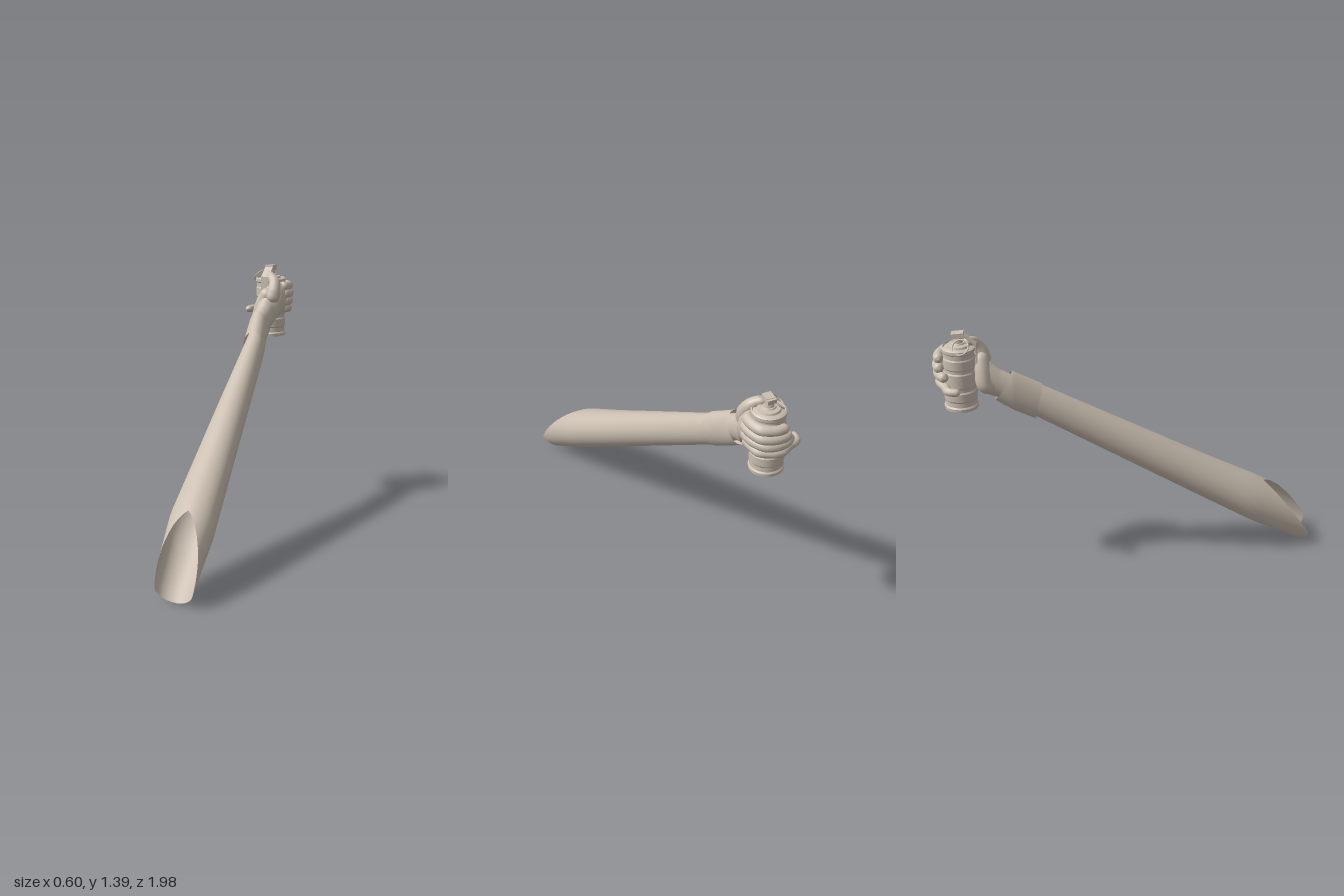
import * as THREE from 'three';
import { mergeVertices } from 'three/addons/utils/BufferGeometryUtils.js';

const fabric = new THREE.MeshStandardMaterial({ color: 0xcbbfb1, side: THREE.DoubleSide });
fabric.name = 'warm beige';

// Canister axis
const CX = -0.142, CZ = -0.86;

function mesh(name, geometry) {
  const m = new THREE.Mesh(geometry, fabric);
  m.name = name;
  return m;
}

// Interpolates rows of [z, x, y, rx, ry], ordered from high z to low z
function sectionAt(rows, z) {
  let i = 0;
  while (i < rows.length - 2 && z < rows[i + 1][0]) i++;
  const a = rows[i], b = rows[i + 1], t = (z - a[0]) / (b[0] - a[0]);
  return a.map((v, k) => v + (b[k] - v) * t);
}

// Elliptical skin running towards -z; both rims may vary with height s (-1 to 1)
function skin(rows, rimStart, rimEnd, steps = 24, sides = 36) {
  const pos = [], idx = [];
  for (let i = 0; i <= steps; i++) {
    for (let j = 0; j < sides; j++) {
      const a = (j / sides) * Math.PI * 2, s = Math.sin(a);
      const z = THREE.MathUtils.lerp(rimStart(s), rimEnd(s), i / steps);
      const [, x, y, rx, ry] = sectionAt(rows, z);
      pos.push(x + rx * Math.cos(a), y + ry * s, z);
      if (i < steps) {
        const p = i * sides + j, q = i * sides + (j + 1) % sides;
        idx.push(p, p + sides, q, q, p + sides, q + sides);
      }
    }
  }
  const g = new THREE.BufferGeometry();
  g.setAttribute('position', new THREE.Float32BufferAttribute(pos, 3));
  g.setIndex(idx);
  g.computeVertexNormals();
  return g;
}

// Round-ended tapering limb through points [x, y, z, radius]
function limb(points, seg = 40, sides = 14) {
  const curve = new THREE.CatmullRomCurve3(points.map(p => new THREE.Vector3(p[0], p[1], p[2])));
  const g = new THREE.TubeGeometry(curve, seg, 1, sides);
  const pos = g.attributes.position, v = new THREE.Vector3(), len = curve.getLength();
  for (let i = 0; i <= seg; i++) {
    const u = i / seg, c = curve.getPointAt(u);
    const f = curve.getUtoTmapping(u) * (points.length - 1);
    const k = Math.min(Math.floor(f), points.length - 2);
    let r = THREE.MathUtils.lerp(points[k][3], points[k + 1][3], f - k);
    const d = Math.min(u, 1 - u) * len;
    if (d < r) r *= Math.sqrt(Math.max(1 - (1 - d / r) ** 2, 0.0001));
    for (let j = 0; j <= sides; j++) {
      const n = i * (sides + 1) + j;
      v.fromBufferAttribute(pos, n).sub(c).multiplyScalar(r).add(c);
      pos.setXYZ(n, v.x, v.y, v.z);
    }
  }
  g.deleteAttribute('uv');
  g.deleteAttribute('normal');
  const welded = mergeVertices(g, 1e-5);
  welded.computeVertexNormals();
  return welded;
}

// Finger wrapped round the canister, angles in degrees from +x towards -z
function finger(y0, y1, from, to, r, reach) {
  const pts = [];
  for (let i = 0; i <= 6; i++) {
    const t = i / 6, a = THREE.MathUtils.degToRad(from + (to - from) * t);
    const knuckle = 1 + 0.05 * Math.cos(t * Math.PI * 4);
    pts.push([CX + reach * 0.94 * Math.cos(a) * knuckle, y0 + (y1 - y0) * t,
      CZ - reach * Math.sin(a), r * (1 - 0.18 * t) * knuckle]);
  }
  return pts;
}

export function createModel() {
  const model = new THREE.Group();
  model.name = 'armWithCanister';

  // Sleeve, cut away above at the open shoulder end
  const shoulderRim = s => s > -0.25
    ? 0.72 + 0.265 * Math.pow((1 - s) / 1.25, 0.6)
    : 0.985 - 0.045 * (-0.25 - s) / 0.75;
  model.add(mesh('sleeve', skin([
    [0.98, 0.193, 0.125, 0.105, 0.128],
    [0.66, 0.125, 0.310, 0.125, 0.133],
    [0.40, 0.080, 0.463, 0.110, 0.122],
    [0.00, 0.014, 0.705, 0.087, 0.109],
    [-0.47, -0.062, 0.988, 0.058, 0.094],
    [-0.55, -0.080, 1.035, 0.050, 0.085],
  ], shoulderRim, () => -0.53, 32)));

  // Glove cuff over the sleeve end
  model.add(mesh('gloveCuff', skin([
    [-0.45, -0.064, 0.978, 0.064, 0.102],
    [-0.60, -0.103, 1.067, 0.058, 0.106],
    [-0.70, -0.114, 1.120, 0.055, 0.090],
  ], s => -0.473 + 0.02 * s, s => -0.65 + 0.045 * s, 12)));

  // Hand
  const hand = new THREE.Group();
  hand.name = 'hand';
  model.add(hand);
  hand.add(mesh('palm', skin([
    [-0.58, -0.102, 1.055, 0.050, 0.085],
    [-0.66, -0.112, 1.110, 0.050, 0.076],
    [-0.72, -0.113, 1.145, 0.057, 0.092],
    [-0.77, -0.095, 1.205, 0.064, 0.098],
    [-0.82, -0.060, 1.228, 0.036, 0.088],
    [-0.87, -0.046, 1.228, 0.024, 0.072],
    [-0.90, -0.045, 1.228, 0.001, 0.002],
  ], () => -0.58, () => -0.90, 32)));
  hand.add(mesh('palmHeel', limb([
    [-0.125, 1.10, -0.69, 0.04], [-0.155, 1.125, -0.735, 0.042],
    [-0.14, 1.20, -0.75, 0.042], [-0.10, 1.28, -0.76, 0.04],
  ])));
  hand.add(mesh('thumb', limb([
    [-0.085, 1.20, -0.74, 0.042], [-0.075, 1.27, -0.755, 0.038],
    [-0.085, 1.32, -0.78, 0.031], [-0.115, 1.345, -0.80, 0.026],
    [-0.148, 1.355, -0.825, 0.022],
  ])));
  const fingers = [
    ['indexFinger', finger(1.29, 1.275, -32, 118, 0.030, 0.104)],
    ['middleFinger', finger(1.25, 1.23, -32, 128, 0.031, 0.110)],
    ['ringFinger', finger(1.205, 1.19, -30, 148, 0.030, 0.108)],
    ['littleFinger', [...finger(1.165, 1.145, -28, 105, 0.027, 0.102),
      [-0.225, 1.14, -0.925, 0.022], [-0.272, 1.14, -0.905, 0.021], [-0.284, 1.14, -0.845, 0.019]]],
  ];
  for (const [name, pts] of fingers) hand.add(mesh(name, limb(pts)));

  // Canister body with rolled rims, grooves and stepped shoulder
  const canister = new THREE.Group();
  canister.name = 'canister';
  canister.position.set(CX, 0, CZ);
  model.add(canister);
  const profile = [
    [0, 1.008], [0.076, 1.008], [0.078, 1.001], [0.085, 1.002], [0.086, 1.018], [0.080, 1.026],
    [0.079, 1.05], [0.084, 1.058], [0.084, 1.10], [0.079, 1.108], [0.079, 1.125], [0.082, 1.132],
    [0.082, 1.20], [0.078, 1.207], [0.078, 1.222], [0.083, 1.229], [0.083, 1.275], [0.079, 1.282],
    [0.079, 1.305], [0.085, 1.312], [0.085, 1.328], [0.077, 1.333], [0.074, 1.326], [0.058, 1.332],
    [0.054, 1.342], [0.034, 1.345], [0.030, 1.352], [0, 1.352],
  ].map(p => new THREE.Vector2(...p));
  // Hard edges between profile steps, smooth around the axis
  for (let i = 0; i < profile.length - 1; i++) {
    canister.add(mesh('canisterBand', new THREE.LatheGeometry([profile[i], profile[i + 1]], 36)));
  }

  // Fuse head, safety lever and pull ring
  const neck = mesh('fuseNeck', new THREE.CylinderGeometry(0.019, 0.026, 0.04, 16));
  neck.position.y = 1.366;
  const head = mesh('fuseHead', new THREE.BoxGeometry(0.046, 0.024, 0.062));
  head.position.set(0.002, 1.391, 0);
  head.rotation.x = -0.12;
  canister.add(neck, head);

  const lever = new THREE.Shape();
  [[-0.02, 1.403], [0.03, 1.396], [0.09, 1.345], [0.096, 1.20], [0.089, 1.20], [0.083, 1.341], [0.027, 1.388], [-0.02, 1.395]]
    .forEach(([z, y], i) => (i ? lever.lineTo(-z, y) : lever.moveTo(-z, y)));
  const leverMesh = mesh('safetyLever', new THREE.ExtrudeGeometry(lever, { depth: 0.046, bevelEnabled: false }));
  leverMesh.rotation.y = Math.PI / 2;
  leverMesh.position.x = -0.021;
  canister.add(leverMesh);

  const ring = mesh('pullRing', new THREE.TorusGeometry(0.042, 0.004, 8, 32));
  ring.position.set(-0.058, 1.347, 0.015);
  ring.rotation.set(Math.PI / 2, 0.68, 0);
  ring.rotation.order = 'ZYX';
  ring.rotation.set(Math.PI / 2 - 0.2, 0, 0.75);
  canister.add(ring);

  return model;
}
